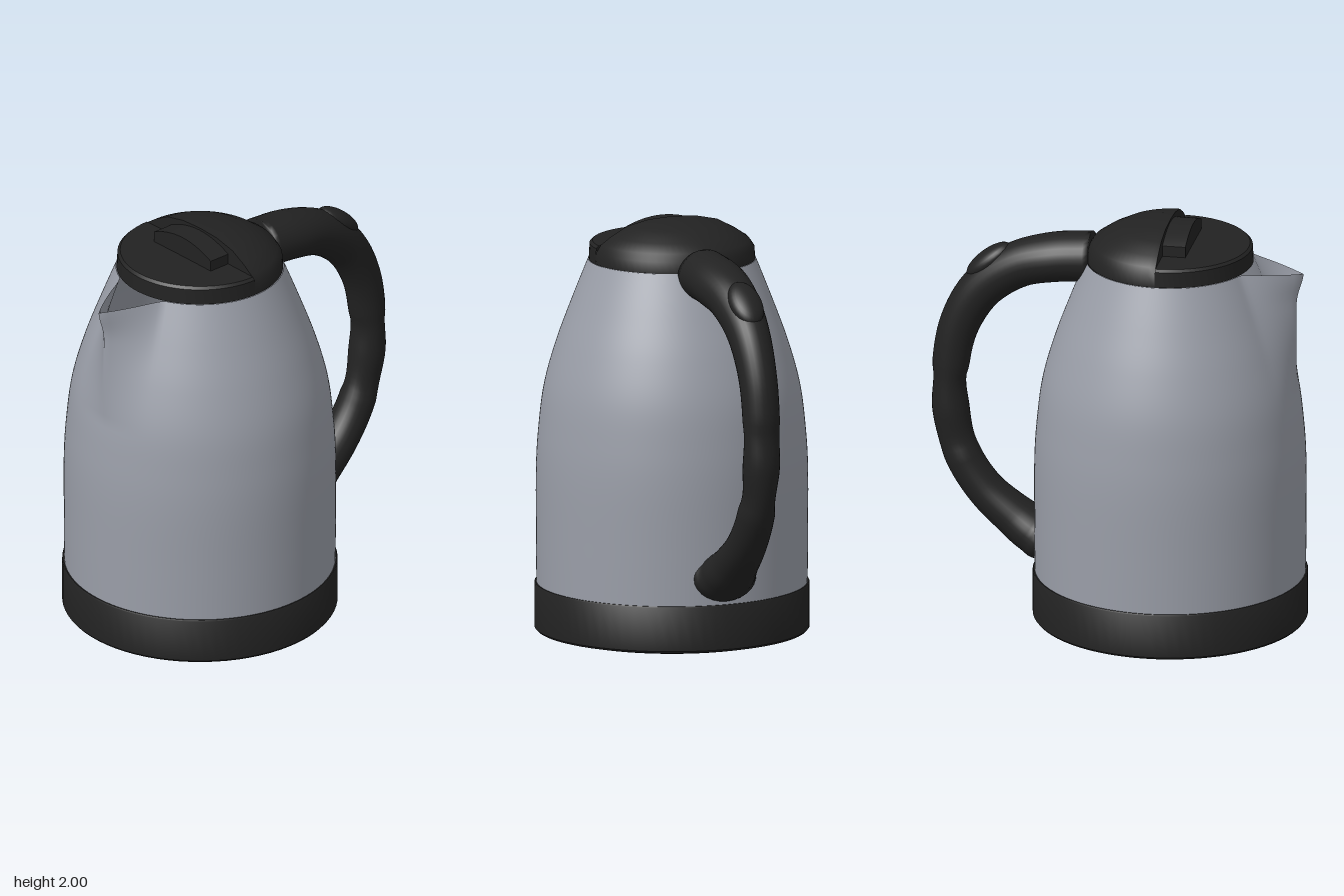
import * as THREE from 'three';
import { mergeVertices, toCreasedNormals } from 'three/addons/utils/BufferGeometryUtils.js';

const AXIS_X = -0.25; // the vessel sits left of centre, the handle fills the right

const steel = new THREE.MeshStandardMaterial({ color: 0x9a9ea8, side: THREE.DoubleSide });
steel.name = 'brushed steel';
const black = new THREE.MeshStandardMaterial({ color: 0x222222, side: THREE.DoubleSide });
black.name = 'black plastic';

const v2 = (pts) => pts.map(([x, y]) => new THREE.Vector2(x, y));

function part(name, geometry, material, parent) {
  const mesh = new THREE.Mesh(geometry, material);
  mesh.name = name;
  parent.add(mesh);
  return mesh;
}

function creasedLathe(pts, segments, start = 0, length = Math.PI * 2) {
  return toCreasedNormals(new THREE.LatheGeometry(v2(pts), segments, start, length), 0.6);
}

// Tapered steel wall, with a narrow pouring lip pulled out on the -x side
function bodyGeometry() {
  const profile = new THREE.SplineCurve(v2([
    [0.638, 0.24], [0.64, 0.5], [0.64, 0.8], [0.628, 1.0], [0.602, 1.2],
    [0.547, 1.4], [0.474, 1.6], [0.395, 1.8],
  ]));
  let geo = new THREE.LatheGeometry(profile.getPoints(48), 144, Math.PI / 2);
  const p = geo.attributes.position;
  for (let i = 0; i < p.count; i++) {
    const x = p.getX(i), y = p.getY(i), z = p.getZ(i);
    const r = Math.hypot(x, z);
    const angle = Math.abs(Math.atan2(z, -x));
    const f = Math.pow(Math.max(0, 1 - angle / 0.42), 1.5);
    const flare = THREE.MathUtils.smoothstep(y, 1.62, 1.82);
    const pull = Math.max(0, 0.605 + 0.034 * flare - r) * f;
    const s = (r + pull) / r;
    p.setXYZ(i, x * s, y - 0.03 * f * flare, z * s);
  }
  geo.deleteAttribute('uv');
  geo.deleteAttribute('normal');
  geo = mergeVertices(geo, 1e-4);
  geo.computeVertexNormals();
  return geo;
}

// Sweep of ellipses along a path in the xy plane; rows are x, y, in-plane radius, z radius
function handleGeometry(rows, steps = 72, sides = 28) {
  const path = new THREE.CatmullRomCurve3(rows.map(([x, y]) => new THREE.Vector3(x, y, 0)));
  const radii = new THREE.CatmullRomCurve3(rows.map(([, , h, w]) => new THREE.Vector3(h, w, 0)));
  const pos = [], index = [];
  for (let i = 0; i <= steps; i++) {
    const c = path.getPoint(i / steps), t = path.getTangent(i / steps), r = radii.getPoint(i / steps);
    for (let j = 0; j < sides; j++) {
      const a = (j / sides) * Math.PI * 2;
      const n = r.x * Math.cos(a);
      pos.push(c.x - t.y * n, c.y + t.x * n, r.y * Math.sin(a));
      if (i === steps) continue;
      const k = i * sides + j, l = i * sides + ((j + 1) % sides);
      index.push(k, l, k + sides, l, l + sides, k + sides);
    }
  }
  // end caps
  const last = steps * sides;
  for (let j = 1; j < sides - 1; j++) {
    index.push(0, j + 1, j, last, last + j, last + j + 1);
  }
  const geo = new THREE.BufferGeometry();
  geo.setAttribute('position', new THREE.Float32BufferAttribute(pos, 3));
  geo.setIndex(index);
  geo.computeVertexNormals();
  return geo;
}

export function createModel() {
  const kettle = new THREE.Group();
  kettle.name = 'kettle';

  const vessel = new THREE.Group();
  vessel.name = 'vessel';
  vessel.position.x = AXIS_X;
  kettle.add(vessel);

  part('body', bodyGeometry(), steel, vessel);

  // Base ring with a shallow underside
  part('base', creasedLathe([
    [0, 0], [0.4, 0.006], [0.58, 0.016], [0.64, 0.03], [0.648, 0.04],
    [0.648, 0.248], [0.644, 0.254], [0.6, 0.254],
  ], 72), black, vessel);

  // Lid: domed on the handle side, cut down to a flat deck on the spout side
  const dome = [
    [0.392, 1.8], [0.388, 1.855], [0.365, 1.89], [0.31, 1.928],
    [0.23, 1.97], [0.12, 1.994], [0, 2.0],
  ];
  part('lidDome', creasedLathe([[0, 1.8], ...dome], 36, 0, Math.PI), black, vessel);
  part('lidDeck', creasedLathe([
    [0, 1.8], [0.392, 1.8], [0.388, 1.875], [0.375, 1.887], [0, 1.89],
  ], 36, Math.PI, Math.PI), black, vessel);

  // Upright wall where the dome is cut
  const wall = new THREE.Shape(v2([...dome, ...dome.slice(0, -1).reverse().map(([x, y]) => [-x, y])]));
  part('lidStep', new THREE.ShapeGeometry(wall).rotateY(-Math.PI / 2), black, vessel);

  // Arched finger tab standing on the deck
  const arch = new THREE.Shape();
  arch.moveTo(-0.2, 1.88);
  arch.lineTo(0.2, 1.88);
  arch.lineTo(0.2, 1.94);
  arch.quadraticCurveTo(0.1, 1.988, 0, 1.988);
  arch.quadraticCurveTo(-0.1, 1.988, -0.2, 1.94);
  arch.closePath();
  const tab = new THREE.ExtrudeGeometry(arch, { depth: 0.11, bevelEnabled: false, curveSegments: 10 });
  part('lidTab', toCreasedNormals(tab.rotateY(-Math.PI / 2), 0.6), black, vessel);

  // Handle, wide where it meets the body and slim at the grip
  part('handle', handleGeometry([
    [0.12, 1.79, 0.12, 0.132], [0.3, 1.775, 0.117, 0.135], [0.48, 1.725, 0.11, 0.118],
    [0.65, 1.6, 0.104, 0.1], [0.76, 1.41, 0.095, 0.09], [0.802, 1.2, 0.088, 0.088],
    [0.802, 0.99, 0.088, 0.088], [0.75, 0.77, 0.088, 0.088], [0.64, 0.595, 0.09, 0.095],
    [0.5, 0.47, 0.1, 0.112], [0.4, 0.4, 0.11, 0.138], [0.3, 0.36, 0.11, 0.138],
  ]), black, kettle);

  // Raised thumb pad on the bend of the handle
  const pad = part('thumbPad', new THREE.SphereGeometry(1, 28, 16), black, kettle);
  pad.scale.set(0.13, 0.05, 0.08);
  pad.position.set(0.62, 1.738, 0);
  pad.rotation.z = -0.68;

  return kettle;
}
